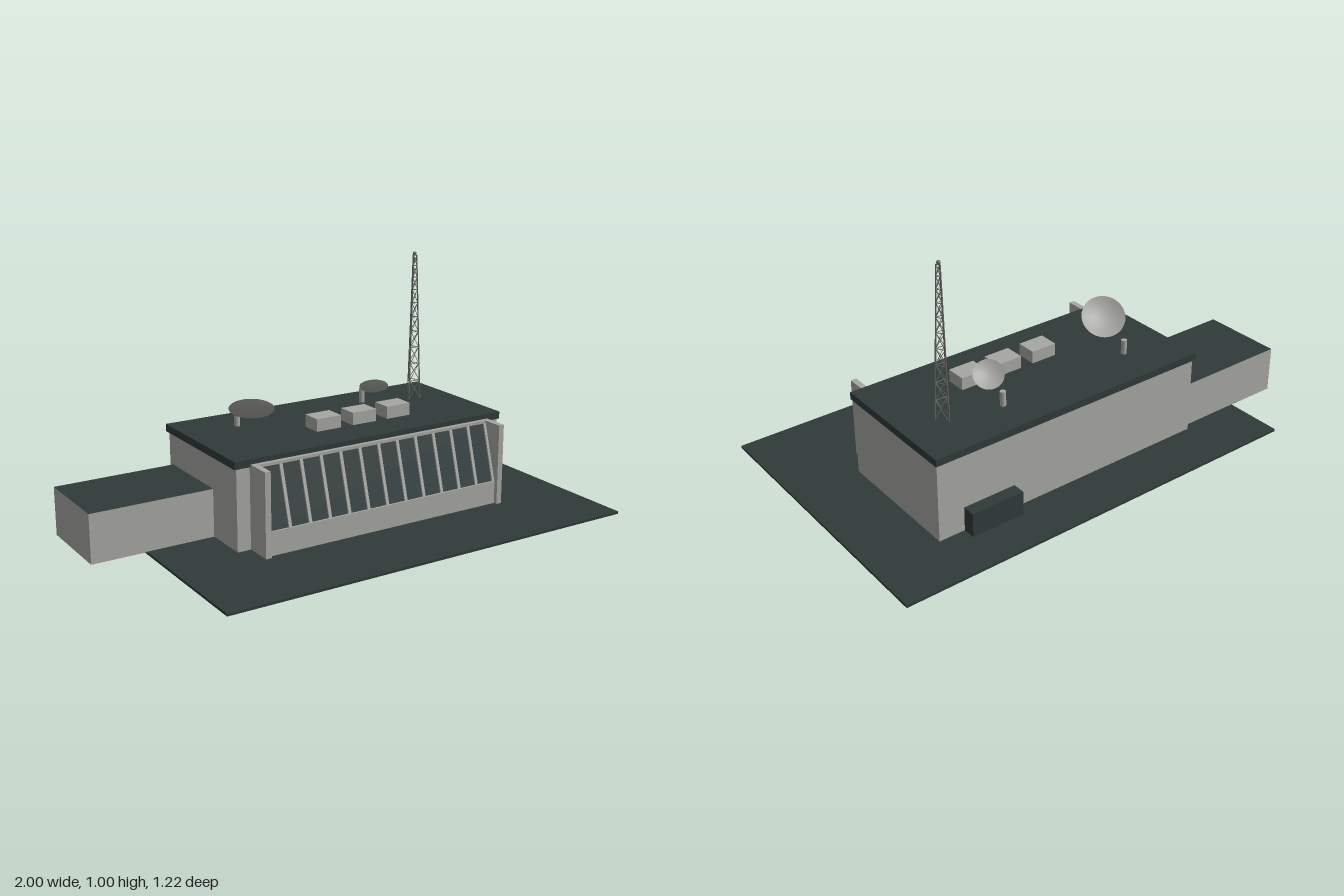
import * as THREE from 'three';

const mat = (name, color, side = THREE.FrontSide) => {
  const m = new THREE.MeshStandardMaterial({ color, side });
  m.name = name;
  return m;
};

export function createModel() {
  const root = new THREE.Group();
  root.name = 'broadcastStation';
  const concrete = mat('concrete grey', 0xa6a6a2);
  const dark = mat('dark slate', 0x2f3a38);
  const glass = mat('window glass', 0x2f3b3b);
  const steel = mat('mast steel', 0x6c6d69);
  const dishGrey = mat('dish grey', 0xa6a6a2, THREE.DoubleSide);

  const add = (name, geo, material, parent = root) => {
    const m = new THREE.Mesh(geo, material);
    m.name = name;
    parent.add(m);
    return m;
  };
  // Box given by its limits on each axis
  const box = (name, x0, x1, y0, y1, z0, z1, material) => {
    const m = add(name, new THREE.BoxGeometry(x1 - x0, y1 - y0, z1 - z0), material);
    m.position.set((x0 + x1) / 2, (y0 + y1) / 2, (z0 + z1) / 2);
    return m;
  };

  // Ground, main block and annex
  box('groundSlab', -0.78, 1, 0, 0.01, -0.61, 0.61, dark);
  box('mainWalls', -0.5, 0.72, 0.01, 0.335, -0.39, 0.168, concrete);
  box('roofSlab', -0.51, 0.728, 0.335, 0.365, -0.4, 0.175, dark);
  box('annex', -1, -0.5, 0.008, 0.203, -0.365, -0.02,
    [concrete, concrete, dark, dark, concrete, concrete]);
  box('rearCabinet', 0.385, 0.61, 0.01, 0.11, -0.443, -0.39, dark);

  // Front bay with sloping glazing
  const bay0 = -0.42, bay1 = 0.64;
  box('bayBase', bay0, bay1, 0.01, 0.105, 0.165, 0.265, concrete);
  box('bayHeader', bay0, bay1, 0.333, 0.345, 0.165, 0.192, concrete);
  box('bayFinRight', bay0 - 0.024, bay0, 0.01, 0.345, 0.165, 0.281, concrete);
  box('bayFinLeft', bay1, bay1 + 0.024, 0.01, 0.345, 0.165, 0.281, concrete);

  const bottom = new THREE.Vector2(0.257, 0.105), top = new THREE.Vector2(0.19, 0.335);
  const slope = Math.atan2(bottom.x - top.x, top.y - bottom.y);
  const length = bottom.distanceTo(top);
  const glazing = new THREE.Group();
  glazing.name = 'glazing';
  glazing.position.set((bay0 + bay1) / 2, (bottom.y + top.y) / 2, (bottom.x + top.x) / 2);
  glazing.rotation.x = -slope;
  root.add(glazing);
  add('windowGlass', new THREE.BoxGeometry(bay1 - bay0, length, 0.008), glass, glazing).position.z = -0.004;
  const panes = 12, pitch = 1.05 / panes;
  for (let i = 0; i <= panes; i++) {
    const bar = add('windowMullion', new THREE.BoxGeometry(0.013, length, 0.012), concrete, glazing);
    bar.position.x = (i - panes / 2) * pitch;
  }

  // Roof ventilation units
  for (const x of [-0.003, 0.165, 0.331]) {
    box('roofUnit', x - 0.056, x + 0.056, 0.365, 0.416, -0.07, 0.015, concrete);
  }

  // Satellite dishes, each with a short post
  const dish = (x, y, z, radius) => {
    const depth = radius * 0.28;
    const profile = [];
    for (let i = 0; i <= 8; i++) {
      const t = i / 8;
      profile.push(new THREE.Vector2(radius * t, depth * (t * t - 0.6)));
    }
    const m = add('satelliteDish', new THREE.LatheGeometry(profile, 32), dishGrey);
    m.position.set(x, y, z);
    m.quaternion.setFromUnitVectors(new THREE.Vector3(0, 1, 0),
      new THREE.Vector3(0.33, 0.75, -0.57).normalize());
  };
  dish(-0.294, 0.462, -0.083, 0.089);
  dish(0.327, 0.45, -0.157, 0.06);
  for (const [x, z] of [[-0.282, -0.225], [0.33, -0.25]]) {
    add('dishPost', new THREE.CylinderGeometry(0.012, 0.012, 0.06, 12), concrete).position.set(x, 0.395, z);
  }

  // Tapered three-legged lattice mast
  const mast = new THREE.Group();
  mast.name = 'latticeMast';
  mast.position.set(0.553, 0, -0.195);
  root.add(mast);
  const rod = (name, a, b, r) => {
    const d = b.clone().sub(a);
    const m = add(name, new THREE.CylinderGeometry(r, r, d.length(), 6), steel, mast);
    m.position.copy(a).add(b).multiplyScalar(0.5);
    m.quaternion.setFromUnitVectors(new THREE.Vector3(0, 1, 0), d.normalize());
  };
  const y0 = 0.365, y1 = 0.98;
  const corner = (k, y) => {
    const r = THREE.MathUtils.lerp(0.033, 0.009, (y - y0) / (y1 - y0));
    const a = (k * Math.PI * 2) / 3;
    return new THREE.Vector3(Math.sin(a) * r, y, -Math.cos(a) * r);
  };
  const levels = 10;
  const levelY = (i) => y0 + (y1 - y0) * (1.3 * (i / levels) - 0.3 * (i / levels) ** 2);
  for (let k = 0; k < 3; k++) {
    rod('mastLeg', corner(k, y0), corner(k, y1), 0.0028);
    for (let i = 0; i < levels; i++) {
      const a = levelY(i), b = levelY(i + 1);
      rod('mastBrace', corner(k, a), corner(k + 1, b), 0.0013);
      rod('mastBrace', corner(k + 1, a), corner(k, b), 0.0013);
      rod('mastRing', corner(k, b), corner(k + 1, b), 0.0015);
    }
  }
  add('mastBeacon', new THREE.SphereGeometry(0.008, 12, 8), steel, mast).position.y = 0.987;

  return root;
}
